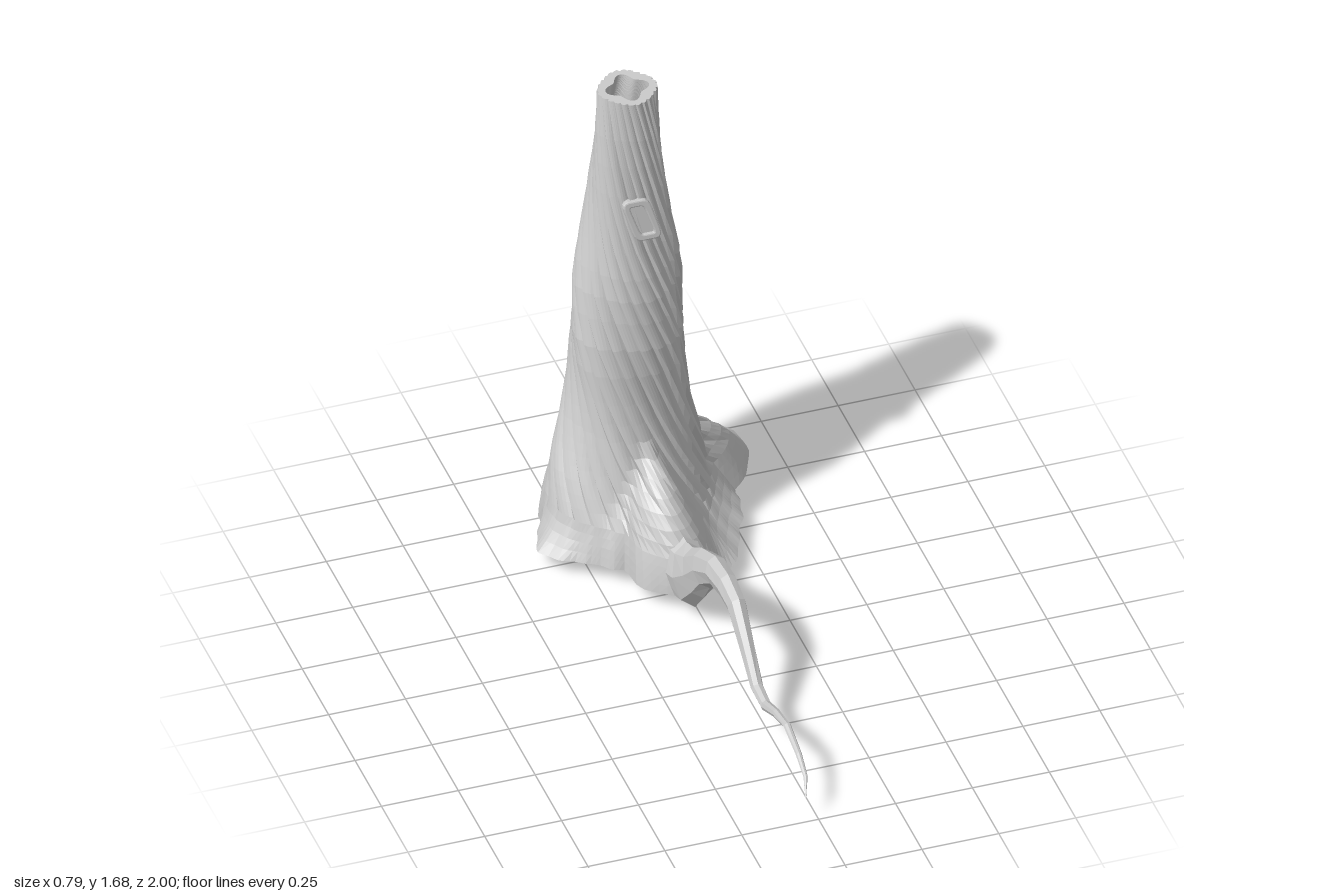
import * as THREE from 'three';

const CX = -0.068, CZ = -0.615, TOP = 1.685, COLS = 120, RIDGE = 5, TWIST = 2.3;
const lerp = THREE.MathUtils.lerp;
const clamp = THREE.MathUtils.clamp;

// Linear lookup in a sorted list of [key, value]
function sample(list, k) {
  for (let i = 1; i < list.length; i++) {
    if (k <= list[i][0]) {
      const [a, b] = [list[i - 1], list[i]];
      return lerp(a[1], b[1], clamp((k - a[0]) / (b[0] - a[0]), 0, 1));
    }
  }
  return list[list.length - 1][1];
}

// Skin a list of equal-length closed rings of Vector3
function loft(rings) {
  const n = rings[0].length, pos = [], idx = [];
  rings.forEach(r => r.forEach(p => pos.push(p.x, p.y, p.z)));
  for (let i = 0; i < rings.length - 1; i++) {
    for (let j = 0; j < n; j++) {
      const a = i * n + j, b = i * n + (j + 1) % n;
      idx.push(a, b, b + n, a, b + n, a + n);
    }
  }
  const g = new THREE.BufferGeometry();
  g.setAttribute('position', new THREE.Float32BufferAttribute(pos, 3));
  g.setIndex(idx);
  g.computeVertexNormals();
  return g;
}

// Trunk radius by height
const profile = [[0.06, 0.266], [0.18, 0.254], [0.3, 0.23], [0.4, 0.207], [0.5, 0.188], [0.6, 0.18],
  [0.8, 0.178], [1.0, 0.163], [1.2, 0.131], [1.4, 0.112], [TOP, 0.09]];

// Footprint of the spreading base (x, z), turned into angle/distance pairs
const foot = [[0.26, -1], [0.375, -0.92], [0.39, -0.8], [0.28, -0.61], [0.22, -0.4], [0.135, -0.23],
  [0.04, -0.14], [-0.08, -0.16], [-0.16, -0.24], [-0.17, -0.33], [-0.26, -0.4], [-0.395, -0.5],
  [-0.34, -0.64], [-0.26, -0.8], [-0.2, -0.94], [-0.12, -0.945], [-0.02, -0.905], [0.085, -0.93]]
  .map(([x, z]) => [Math.atan2(x - CX, z - CZ), Math.hypot(x - CX, z - CZ)])
  .sort((a, b) => a[0] - b[0]);
const last = foot[foot.length - 1], first = foot[0];
const outline = [[last[0] - 2 * Math.PI, last[1]], ...foot, [first[0] + 2 * Math.PI, first[1]]];

const wrap = a => Math.atan2(Math.sin(a), Math.cos(a));
const bump = (a, centre, width) => Math.exp(-((wrap(a - centre) / width) ** 2));
const footRadius = a => sample(outline, wrap(a)) + 0.004 * Math.sin(a * 23) * (1 - bump(a, 2.2, 0.4));

// Outer radius: twisted, ridged trunk blended into the spreading base
function outerRadius(y, a, j) {
  const phase = j / COLS * Math.PI * 2;
  const fade = clamp((y - 0.12) / 0.2, 0, 1);
  const depth = 0.07 + 0.025 * Math.sin(Math.floor(j / RIDGE) * 2.4);
  const groove = 1.02 - depth * fade * ((j % RIDGE) / (RIDGE - 1)) ** 2;
  const trunk = sample(profile, y) * groove * (1 + 0.045 * fade * Math.cos(4 * phase));
  const front = bump(a, 0.03, 0.45), side = bump(a, 1.9, 0.35);
  const h = 0.13 + 0.25 * front + 0.15 * side;
  const s = clamp((y - 0.06) / h, 0, 1);
  const f = lerp((1 - s) ** 2, 1 - s * s, clamp(front * 0.95 + side * 0.65, 0, 1));
  return lerp(trunk, Math.max(trunk, footRadius(a)), f);
}

function trunkGeometry() {
  const ring = (y, radius) => Array.from({ length: COLS }, (_, j) => {
    const a = j / COLS * Math.PI * 2 + TWIST * (TOP - Math.max(y, 0.18));
    const r = radius(a, j);
    return new THREE.Vector3(CX + r * Math.sin(a), y, CZ + r * Math.cos(a));
  });
  const heights = [0.06, 0.09, 0.12, 0.15, 0.18, 0.22, 0.26, 0.3, 0.34, 0.38, 0.42, 0.47, 0.53, 0.6,
    0.7, 0.8, 0.9, 0.98, 1.06, 1.15, 1.25, 1.35, 1.45, 1.55, TOP];
  const rim = ring(0.02, a => footRadius(a) * 0.75);
  const rings = [rim];
  heights.forEach(y => rings.push(ring(y, (a, j) => outerRadius(y, a, j))));
  // Hollow inside, back down to the rim
  [TOP, 1.5, 1.3, 1.1, 0.9, 0.7, 0.5, 0.35, 0.2, 0.12].forEach(y => rings.push(ring(y,
    (a, j) => sample(profile, y) * 0.88 - 0.02 + 0.011 * Math.cos(8 * Math.PI * j / COLS))));
  rings.push(rim);
  return loft(rings);
}

// Long root: [z, y, half height, half width, x]
function rootGeometry() {
  const path = [[-0.4, 0.14, 0.06, 0.04, -0.03], [-0.25, 0.12, 0.12, 0.075, -0.025],
    [-0.14, 0.145, 0.105, 0.06, -0.025], [-0.07, 0.2, 0.08, 0.05, -0.025],
    [0, 0.267, 0.063, 0.043, -0.024], [0.1, 0.325, 0.05, 0.038, -0.022], [0.2, 0.337, 0.047, 0.034, -0.021],
    [0.28, 0.322, 0.045, 0.03, -0.02], [0.38, 0.228, 0.035, 0.024, -0.02], [0.475, 0.142, 0.022, 0.02, -0.02],
    [0.56, 0.132, 0.018, 0.017, -0.02], [0.66, 0.172, 0.014, 0.014, -0.02], [0.76, 0.196, 0.009, 0.012, -0.02],
    [0.87, 0.163, 0.007, 0.01, -0.02], [0.94, 0.127, 0.005, 0.007, -0.022], [1, 0.09, 0.001, 0.001, -0.042]];
  const rings = path.map(([z, y, h, w, x], i) => {
    const p = path[Math.max(i - 1, 0)], q = path[Math.min(i + 1, path.length - 1)];
    const tilt = i < 2 ? 0 : Math.atan2(q[1] - p[1], q[0] - p[0]);
    return Array.from({ length: 8 }, (_, k) => {
      const a = k / 8 * Math.PI * 2, up = h * Math.sin(a);
      return new THREE.Vector3(x + w * Math.cos(a), y + up * Math.cos(tilt), z - up * Math.sin(tilt));
    });
  });
  return loft(rings);
}

// Slanted rounded outline for the window
function slanted(path, scale) {
  const c = [[-0.035, -0.068], [0.045, -0.068], [0.035, 0.068], [-0.045, 0.068]]
    .map(([x, y]) => new THREE.Vector2(x * scale - y * 0.22, y * (scale < 1 ? 0.82 : 1)));
  c.forEach((p, i) => {
    const before = c[(i + 3) % 4], after = c[(i + 1) % 4];
    const start = p.clone().lerp(before, 0.22), end = p.clone().lerp(after, 0.22);
    if (i === 0) path.moveTo(start.x, start.y); else path.lineTo(start.x, start.y);
    path.quadraticCurveTo(p.x, p.y, end.x, end.y);
  });
  path.closePath();
  return path;
}

export function createModel() {
  const group = new THREE.Group();
  const material = new THREE.MeshStandardMaterial({ color: 0xcccccc, flatShading: true, side: THREE.DoubleSide });
  const add = (name, geometry, parent = group) => {
    const mesh = new THREE.Mesh(geometry, material);
    mesh.name = name;
    parent.add(mesh);
    return mesh;
  };

  add('trunk', trunkGeometry());
  add('longRoot', rootGeometry());

  // Window frame with a recessed pane
  const win = new THREE.Group();
  win.name = 'window';
  const frame = slanted(new THREE.Shape(), 1);
  frame.holes.push(slanted(new THREE.Path(), 0.7));
  add('windowFrame', new THREE.ExtrudeGeometry(frame, {
    depth: 0.025, bevelEnabled: true, bevelThickness: 0.005, bevelSize: 0.005, bevelSegments: 2, curveSegments: 4,
  }), win);
  add('windowPane', new THREE.ShapeGeometry(slanted(new THREE.Shape(), 0.8), 4), win).position.z = 0.018;
  win.position.set(-0.064, 1.265, -0.51);
  win.rotation.x = -0.12;
  group.add(win);

  return group;
}
